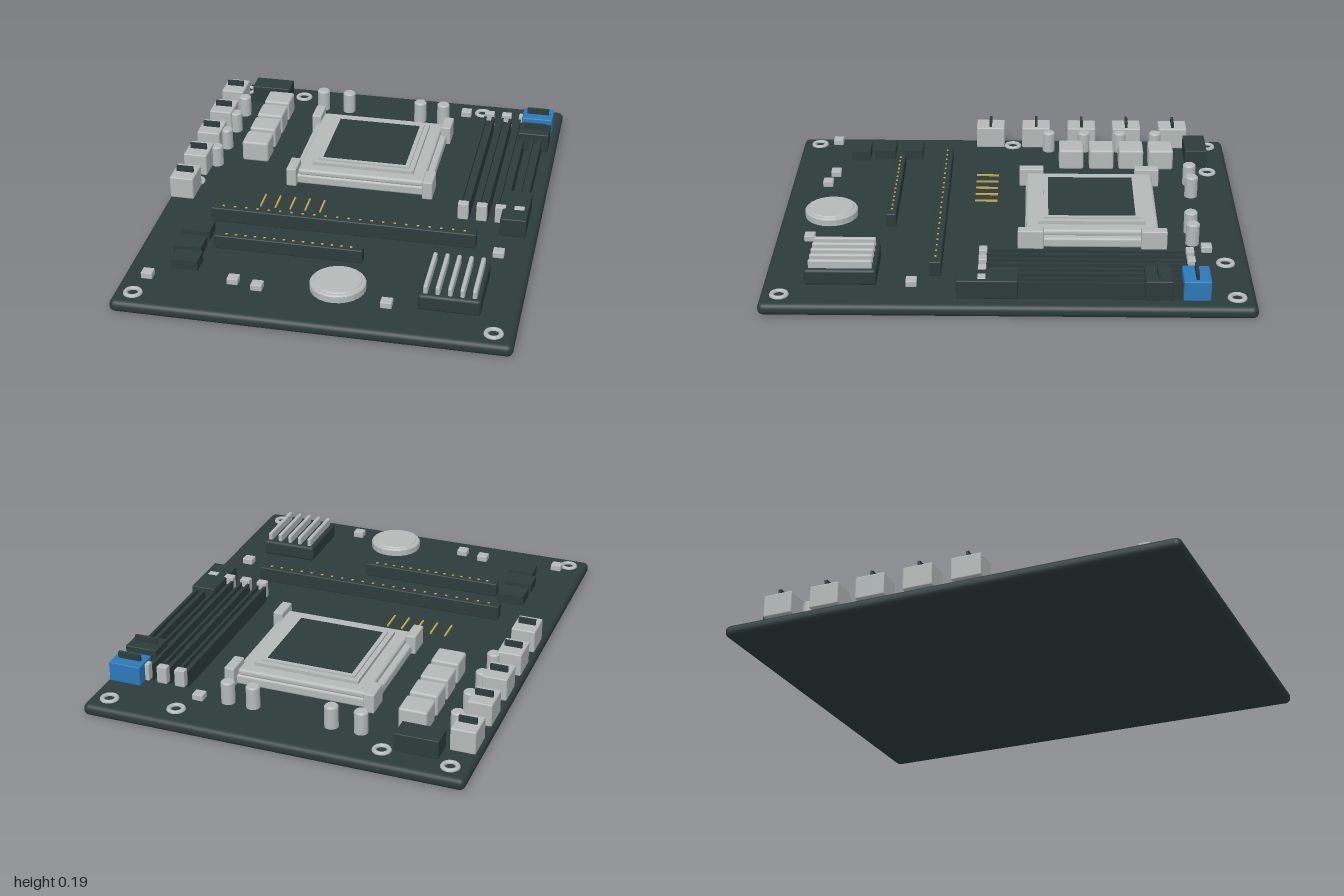
import * as THREE from 'three';
import { RoundedBoxGeometry } from 'three/addons/geometries/RoundedBoxGeometry.js';

const mat = (name, color) => {
  const m = new THREE.MeshStandardMaterial({ color });
  m.name = name;
  return m;
};

export function createModel() {
  const root = new THREE.Group();
  root.name = 'mainboard';
  const dark = mat('dark green grey', 0x2d3b3b);
  const silver = mat('silver', 0xb4bab9);
  const blue = mat('blue', 0x2b79b9);
  const gold = mat('gold', 0xc8a548);

  const add = (name, geometry, material, x, y, z) => {
    const mesh = new THREE.Mesh(geometry, material);
    mesh.name = name;
    mesh.position.set(x, y, z);
    root.add(mesh);
    return mesh;
  };
  // Box centred on x and z, spanning y0 to y1; optional rounded edges
  const box = (name, material, x, z, w, d, y0, y1, r = 0) => {
    const h = y1 - y0;
    const g = r ? new RoundedBoxGeometry(w, h, d, 2, r) : new THREE.BoxGeometry(w, h, d);
    return add(name, g, material, x, (y0 + y1) / 2, z);
  };
  const can = (name, x, z, r, y0, y1) => {
    const c = Math.min(0.006, r * 0.2);
    const points = [[0, y0], [r, y0], [r, y1 - c], [r - c, y1], [0, y1]].map(p => new THREE.Vector2(...p));
    const g = new THREE.LatheGeometry(points, 24).toNonIndexed();
    g.computeVertexNormals();
    return add(name, g, silver, x, 0, z);
  };

  // Circuit board
  add('board', new RoundedBoxGeometry(1.62, 0.053, 2, 4, 0.024), dark, 0, 0.0265, 0);

  // Mounting rings
  for (const [x, z] of [[-0.73, -0.92], [-0.445, -0.9], [0.435, -0.9], [0.725, -0.92],
    [-0.73, 0], [-0.73, 0.92], [0.725, 0.92]]) {
    add('mountingRing', new THREE.TorusGeometry(0.03, 0.01, 8, 24).rotateX(Math.PI / 2), silver, x, 0.054, z);
  }

  // Rear ports, each with a thin tab, and the capacitors between them
  [-0.755, -0.537, -0.325, -0.11, 0.105].forEach(z => {
    box('rearPort', silver, -0.747, z, 0.105, 0.132, 0.06, 0.16, 0.006);
    box('portTab', dark, -0.747, z, 0.075, 0.012, 0.155, 0.185);
  });
  for (const z of [-0.67, -0.505, -0.335, -0.17]) can('portCapacitor', -0.68, z, 0.028, 0.055, 0.15);

  // Capacitors along the back
  for (const [x, z] of [[-0.325, -0.805], [-0.2, -0.805], [0.15, -0.775], [0.26, -0.775]]) {
    can('backCapacitor', x, z, 0.029, 0.055, 0.153);
  }

  // Power chokes
  for (const z of [-0.685, -0.548, -0.412, -0.273]) {
    box('choke', silver, -0.515, z, 0.12, 0.113, 0.06, 0.156, 0.01);
  }
  box('backConnector', dark, -0.585, -0.85, 0.18, 0.1, 0.06, 0.14, 0.004);

  // Processor socket: stacked plates, corner brackets and dark lid
  const cz = -0.35;
  box('socketBase', silver, 0, cz, 0.62, 0.57, 0.056, 0.1, 0.01);
  box('socketFrame', silver, 0, cz, 0.565, 0.56, 0.095, 0.125, 0.012);
  box('socketRing', silver, 0, cz, 0.455, 0.455, 0.12, 0.14);
  box('processorCase', silver, 0, cz, 0.41, 0.41, 0.135, 0.147);
  box('processorLid', dark, 0, cz, 0.372, 0.372, 0.14, 0.149);
  for (const sx of [-1, 1]) for (const sz of [-1, 1]) {
    box('socketBracket', silver, sx * 0.305, cz + sz * 0.26, 0.045, 0.11, 0.056, 0.142, 0.006);
  }

  // Memory slots: two rails, a floor and a clip at each end
  for (const x of [0.485, 0.565, 0.645, 0.725]) {
    box('memorySlotFloor', dark, x, -0.32, 0.03, 0.82, 0.055, 0.11);
    for (const s of [-1, 1]) box('memorySlotRail', dark, x + s * 0.018, -0.32, 0.012, 0.82, 0.055, 0.13);
    for (const z of [-0.745, 0.105]) box('memoryClip', silver, x, z, 0.045, 0.034, 0.07, 0.146, 0.004);
  }

  // Connectors on the left edge
  box('blueConnector', blue, 0.71, -0.755, 0.14, 0.11, 0.068, 0.155, 0.005);
  box('darkConnector', dark, 0.71, -0.603, 0.14, 0.11, 0.068, 0.155, 0.005);
  for (const z of [-0.755, -0.603]) box('connectorTab', dark, 0.71, z, 0.1, 0.012, 0.15, 0.182);
  box('powerConnector', dark, 0.71, 0.083, 0.11, 0.247, 0.062, 0.144, 0.005);

  // Expansion slots with rows of contacts
  const slot = (x, z, w, d, y1, pins) => {
    box('expansionSlot', dark, x, z, w, d, 0.056, y1, 0.005);
    for (let i = 0; i < pins; i++) {
      const px = x + (i / (pins - 1) - 0.5) * (w - 0.1);
      box('slotContact', gold, px, z, 0.01, 0.008, y1 - 0.005, y1 + 0.003);
    }
  };
  slot(0, 0.3, 1.14, 0.05, 0.123, 22);
  slot(-0.185, 0.513, 0.63, 0.042, 0.118, 14);

  // Flat gold header strips
  for (let i = 0; i < 5; i++) box('headerStrip', gold, -0.395 + i * 0.066, 0.11, 0.007, 0.1, 0.052, 0.06);

  // Dark chips
  for (const [x, z, w, d] of [[-0.585, 0.465, 0.12, 0.095], [-0.585, 0.592, 0.12, 0.095], [-0.565, 0.703, 0.11, 0.085]]) {
    box('darkChip', dark, x, z, w, d, 0.073, 0.117);
  }

  // Small silver components
  for (const [x, z] of [[0.365, -0.825], [0.675, 0.39], [-0.695, 0.825], [-0.345, 0.8], [-0.24, 0.825], [0.29, 0.845]]) {
    box('smallComponent', silver, x, z, 0.047, 0.045, 0.076, 0.104, 0.004);
  }

  // Coin cell
  can('coinCell', 0.08, 0.775, 0.114, 0.09, 0.123);
  can('coinCellCap', 0.08, 0.775, 0.1, 0.12, 0.128);

  // Finned heat sink
  box('heatSinkBase', dark, 0.535, 0.68, 0.25, 0.295, 0.06, 0.13, 0.012);
  for (let i = 0; i < 5; i++) {
    box('heatSinkFin', silver, 0.437 + i * 0.049, 0.68, 0.018, 0.26, 0.12, 0.165, 0.007);
  }
  return root;
}
